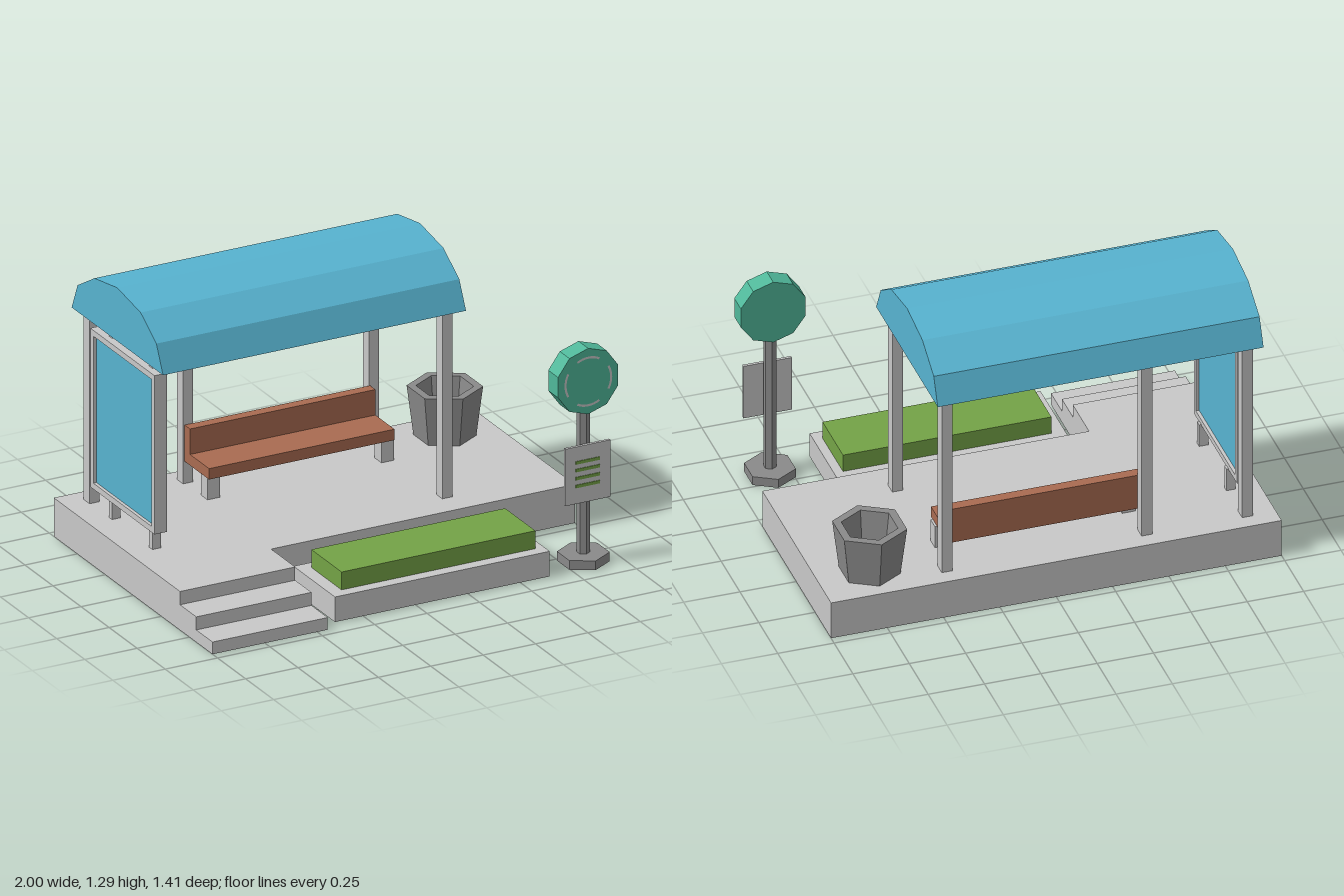
import * as THREE from 'three';

const mat = (name, color) => {
  const m = new THREE.MeshStandardMaterial({ color, side: THREE.DoubleSide, flatShading: true });
  m.name = name;
  return m;
};

export function createModel() {
  const concrete = mat('light grey', 0xc8c8c8);
  const dark = mat('dark grey', 0x8a8a8a);
  const blue = mat('blue', 0x57b3d0);
  const brown = mat('brown', 0xa96b51);
  const grass = mat('grass green', 0x74a346);
  const teal = mat('sign green', 0x50b89a);

  const root = new THREE.Group();
  root.name = 'busShelter';
  const group = (name) => {
    const g = new THREE.Group();
    g.name = name;
    root.add(g);
    return g;
  };
  const add = (name, geo, material, parent = root) => {
    const m = new THREE.Mesh(geo, material);
    m.name = name;
    parent.add(m);
    return m;
  };
  // Box given by its limits on each axis
  const box = (name, [x0, x1], [y0, y1], [z0, z1], material, parent, open = false) => {
    const g = new THREE.BoxGeometry(x1 - x0, y1 - y0, z1 - z0);
    g.translate((x0 + x1) / 2, (y0 + y1) / 2, (z0 + z1) / 2);
    if (open) { // leave out the bottom face
      const i = Array.from(g.index.array);
      i.splice(18, 6);
      g.setIndex(i);
      g.clearGroups();
    }
    return add(name, g, material, parent);
  };
  // Extrude a (z, y) outline along x
  const extrudeX = (shape, x0, x1) =>
    new THREE.ExtrudeGeometry(shape, { depth: x1 - x0, bevelEnabled: false })
      .rotateY(-Math.PI / 2).translate(x1, 0, 0);
  const outline = (pts) => new THREE.Shape(pts.map(([a, b]) => new THREE.Vector2(a, b)));
  const rect = (z0, z1, y0, y1) => [[z0, y0], [z1, y0], [z1, y1], [z0, y1]];

  // Platform and steps, hollow underneath
  const base = group('platform');
  box('platformSlab', [-1, 1], [0, 0.177], [-0.71, 0.2], concrete, base, true);
  [[0.2, 0.415, 0.177], [0.415, 0.56, 0.116], [0.56, 0.705, 0.056]].forEach(([z0, z1, h]) =>
    box('step', [-1, -0.45], [0, h], [z0, z1], concrete, base, true));

  // Planter with a grass block
  const planter = group('planter');
  box('planterBox', [-0.385, 0.64], [0, 0.115], [0.278, 0.648], concrete, planter, true);
  box('grassBlock', [-0.325, 0.6], [0.03, 0.197], [0.325, 0.595], grass, planter, true);

  // Arched roof shell with closed ends and an open underside
  const eave = 1.045;
  const roofShape = outline([[0.13, eave], [0.07, 1.167], [-0.07, 1.256], [-0.28, 1.29],
    [-0.482, 1.256], [-0.632, 1.167], [-0.685, eave]]);
  const solid = extrudeX(roofShape, -0.928, 0.518);
  const p = solid.attributes.position;
  const kept = [];
  for (let i = 0; i < p.count; i += 3) {
    const flat = [0, 1, 2].every((k) => Math.abs(p.getY(i + k) - eave) < 1e-4);
    if (!flat) for (let k = 0; k < 3; k++) kept.push(p.getX(i + k), p.getY(i + k), p.getZ(i + k));
  }
  const roofGeo = new THREE.BufferGeometry();
  roofGeo.setAttribute('position', new THREE.Float32BufferAttribute(kept, 3));
  roofGeo.computeVertexNormals();
  add('roof', roofGeo, blue);

  // Roof posts
  const posts = group('roofPosts');
  [[0.46, 0.045], [0.46, -0.61], [-0.427, -0.61], [-0.873, -0.61]].forEach(([x, z]) =>
    box('post', [x - 0.024, x + 0.024], [0.17, 1.14], [z - 0.027, z + 0.027], concrete, posts));

  // Glazed side panel on two thin legs
  const panel = group('sidePanel');
  const frame = outline(rect(-0.53, 0.042, 0.28, 1.008));
  frame.holes.push(new THREE.Path(rect(-0.503, 0.016, 0.307, 0.981).map(([a, b]) => new THREE.Vector2(a, b))));
  add('panelFrame', extrudeX(frame, -0.922, -0.862), concrete, panel);
  box('panelGlass', [-0.907, -0.877], [0.3, 0.99], [-0.51, 0.023], blue, panel);
  [-0.045, -0.405].forEach((z) => {
    box('panelLeg', [-0.893, -0.852], [0.17, 0.285], [z - 0.014, z + 0.014], concrete, panel);
    box('panelTie', [-0.893, -0.852], [1.005, 1.13], [z - 0.014, z + 0.014], concrete, panel);
  });

  // Bench
  const bench = group('bench');
  box('seat', [-0.445, 0.44], [0.28, 0.33], [-0.58, -0.362], brown, bench);
  box('backrest', [-0.445, 0.44], [0.33, 0.447], [-0.58, -0.532], brown, bench);
  [-0.41, 0.42].forEach((x) =>
    box('benchLeg', [x - 0.03, x + 0.03], [0.17, 0.282], [-0.445, -0.385], concrete, bench));

  // Hexagonal litter bin
  const binProfile = [[0, 0.172], [0.132, 0.172], [0.161, 0.402], [0.122, 0.402], [0.098, 0.22], [0, 0.22]];
  add('litterBin', new THREE.LatheGeometry(binProfile.map(([r, y]) => new THREE.Vector2(r, y)), 6), dark)
    .position.set(0.765, 0, -0.52);

  // Stop sign: base, pole, round plate, notice board
  const sign = group('stopSign');
  const sx = 0.842, sz = 0.57;
  add('signBase', new THREE.CylinderGeometry(0.111, 0.111, 0.042, 6), dark, sign).position.set(sx, 0.021, sz);
  add('signPole', new THREE.CylinderGeometry(0.028, 0.028, 0.67, 6), dark, sign).position.set(sx, 0.375, sz);
  // ten-sided plate with a corner at the top
  const disc = new THREE.CylinderGeometry(0.151, 0.151, 0.087, 10).rotateX(Math.PI / 2);
  add('signPlate', disc, teal, sign).position.set(sx, 0.84, sz);
  for (let i = 0; i < 4; i++) { // broken ring on the front
    const arc = new THREE.RingGeometry(0.104, 0.114, 8, 1, i * Math.PI / 2 - 0.5, 1);
    add('signRingArc', arc, concrete, sign).position.set(sx, 0.84, sz + 0.0455);
  }
  box('noticeBoard', [0.736, 0.951], [0.287, 0.548], [0.596, 0.609], concrete, sign);
  [0.475, 0.44, 0.403, 0.367].forEach((y) =>
    box('noticeStripe', [0.785, 0.9], [y - 0.007, y + 0.007], [0.608, 0.612], grass, sign));

  return root;
}
